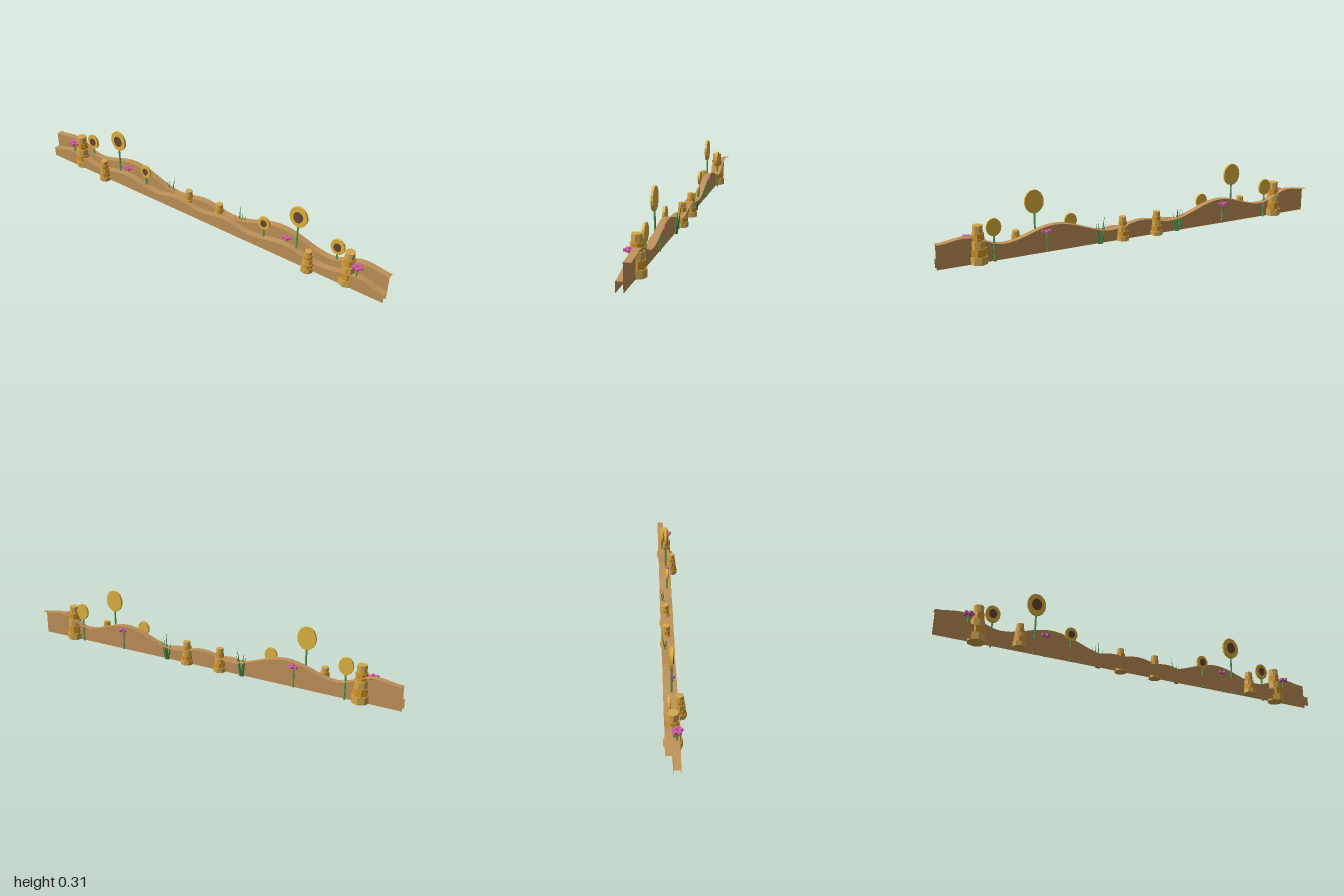
import * as THREE from 'three';

const mat = (name, color, extra = {}) => {
  const m = new THREE.MeshStandardMaterial({ color, flatShading: true, ...extra });
  m.name = name;
  return m;
};

export function createModel() {
  const root = new THREE.Group();
  root.name = 'flowerHills';

  const earth = mat('earth', 0xbf9258, { side: THREE.DoubleSide });
  const paleBark = mat('paleBark', 0xd4a84c);
  const amberBark = mat('amberBark', 0xd8982a);
  const gold = mat('gold', 0xe0b440);
  const seed = mat('seedBrown', 0x6a4630);
  const green = mat('stemGreen', 0x56a45c);
  const grassGreen = mat('grassGreen', 0x469150);
  const pink = mat('pink', 0xd65cac);
  const plum = mat('plum', 0xa84488);

  const add = (parent, name, geo, material, x = 0, y = 0, z = 0) => {
    const m = new THREE.Mesh(geo, material);
    m.name = name;
    m.position.set(x, y, z);
    parent.add(m);
    return m;
  };

  // Smooth height between crest and trough keys, mirrored in x
  const heightAt = (keys, x) => {
    const a = Math.abs(x);
    for (let i = 1; i < keys.length; i++) {
      const [x0, y0] = keys[i - 1], [x1, y1] = keys[i];
      if (a <= x1 + 1e-6) return y0 + (y1 - y0) * (0.5 - 0.5 * Math.cos(Math.PI * (a - x0) / (x1 - x0)));
    }
    return keys[keys.length - 1][1];
  };

  // Hill layer: a vertical wall with a wavy ledge running back from its crest
  const hill = (name, keys, zFront, zBack) => {
    const geo = new THREE.PlaneGeometry(2, 2, 80, 2);
    const p = geo.attributes.position;
    for (let i = 0; i < p.count; i++) {
      const row = Math.round(1 - p.getY(i));
      p.setY(i, row === 2 ? 0 : heightAt(keys, p.getX(i)));
      p.setZ(i, row === 0 ? zBack : zFront);
    }
    const flat = geo.toNonIndexed();
    flat.computeVertexNormals();
    add(root, name, flat, earth);
  };
  hill('backHill', [[0, 0.095], [0.16, 0.068], [0.45, 0.139], [0.7, 0.085], [0.88, 0.139], [1, 0.125]], -0.016, -0.048);
  hill('frontHill', [[0, 0.05], [0.14, 0.07], [0.29, 0.046], [0.48, 0.075], [0.68, 0.046], [0.87, 0.075], [1, 0.048]], 0.016, -0.016);

  // Stepped stump made of five straight eight-sided tiers
  const stump = (name, x, z, height, width) => {
    const g = new THREE.Group();
    g.name = name;
    const h = height / 5;
    [0.042, 0.037, 0.033, 0.028, 0.024].forEach((r, i) => {
      const geo = new THREE.CylinderGeometry(r * width, r * width, h, 8);
      geo.rotateY(i * 0.4);
      add(g, 'tier', geo, i % 2 ? amberBark : paleBark, 0, h * (i + 0.5), 0);
    });
    g.position.set(x, 0, z);
    root.add(g);
  };

  const stem = (parent, top, r) =>
    add(parent, 'stem', new THREE.CylinderGeometry(r, r, top, 6), green, 0, top / 2, 0);

  // Sunflower with an oval head facing the front
  const sunflower = (name, x, y, z, rx, ry) => {
    const g = new THREE.Group();
    g.name = name;
    stem(g, y - ry * 0.8, 0.0045);
    const disc = new THREE.CylinderGeometry(1, 1, 1, 16).rotateX(Math.PI / 2);
    add(g, 'petalDisc', disc, gold, 0, y, 0).scale.set(rx, ry, 0.011);
    add(g, 'seedHead', disc, seed, 0, y, 0.007).scale.set(rx * 0.53, ry * 0.53, 0.004);
    g.position.set(x, 0, z);
    root.add(g);
  };

  // Small flower with a flat horizontal ring of five petals
  const blossom = (name, x, y, z) => {
    const g = new THREE.Group();
    g.name = name;
    stem(g, y - 0.006, 0.004);
    for (let i = 0; i < 5; i++) {
      const a = (i / 5) * Math.PI * 2;
      const petal = add(g, 'petal', new THREE.CylinderGeometry(1, 1, 0.011, 6), pink,
        0.015 * Math.cos(a), y, 0.015 * Math.sin(a));
      petal.scale.set(0.012, 1, 0.009);
      petal.rotation.y = -a;
    }
    add(g, 'blossomCentre', new THREE.CylinderGeometry(0.007, 0.007, 0.013, 8), plum, 0, y, 0);
    g.position.set(x, 0, z);
    root.add(g);
  };

  // Tuft of pointed blades leaning from one root
  const grass = (name, side) => {
    const g = new THREE.Group();
    g.name = name;
    const tips = [[0.2, 0.15, -0.046], [0.24, 0.11, -0.034], [0.185, 0.1, -0.022], [0.226, 0.12, -0.03]];
    for (const [tx, ty, tz] of tips) {
      const base = new THREE.Vector3(side * (0.213 + (tx - 0.213) * 0.2), 0, -0.022);
      const dir = new THREE.Vector3(side * tx, ty, tz).sub(base);
      const len = dir.length();
      const blade = add(g, 'blade', new THREE.ConeGeometry(0.007, len, 4).translate(0, len / 2, 0), grassGreen);
      blade.position.copy(base);
      blade.quaternion.setFromUnitVectors(new THREE.Vector3(0, 1, 0), dir.normalize());
    }
    root.add(g);
  };

  // Everything on the hills is mirrored left and right
  for (const [side, s] of [['left', 1], ['right', -1]]) {
    stump(side + 'TallStump', s * 0.807, -0.012, 0.18, 1);
    stump(side + 'FrontStump', s * 0.62, 0.024, 0.116, 0.74);
    stump(side + 'BackStump', s * 0.093, -0.022, 0.12, 0.74);
    sunflower(side + 'TallSunflower', s * 0.538, 0.252, -0.01, 0.046, 0.056);
    sunflower(side + 'MiddleSunflower', s * 0.738, 0.164, -0.027, 0.035, 0.042);
    sunflower(side + 'SmallSunflower', s * 0.36, 0.135, -0.008, 0.031, 0.036);
    blossom(side + 'OuterBlossom', s * 0.855, 0.126, 0.003);
    blossom(side + 'InnerBlossom', s * 0.483, 0.105, -0.018);
    grass(side + 'Grass', s);
  }
  return root;
}
